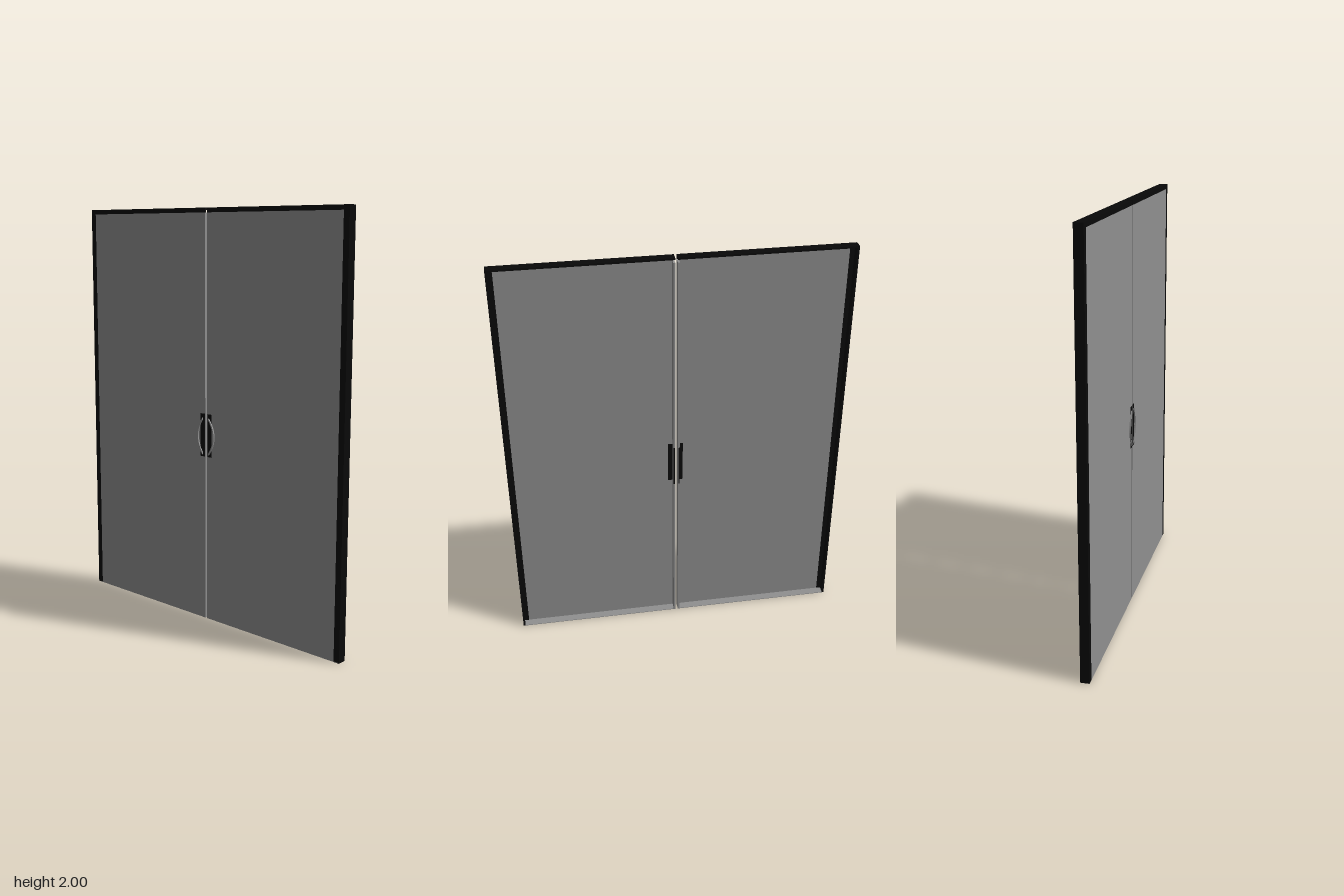
import * as THREE from 'three';

const BACK = -0.018, FRONT = 0.025;
const GAP = 0.006, EDGE = 0.81, HEIGHT = 2;
const STILE = 0.03, RAIL = 0.022, WALL = 0.009, LIP = 0.003, SHEET = 0.004;

const black = new THREE.MeshStandardMaterial({ color: 0x090909 });
const pane = new THREE.MeshStandardMaterial({ color: 0x909090 });

// Box given by its extents along each axis
function box(name, material, [x0, x1], [y0, y1], [z0, z1]) {
  const mesh = new THREE.Mesh(new THREE.BoxGeometry(x1 - x0, y1 - y0, Math.abs(z1 - z0)), material);
  mesh.position.set((x0 + x1) / 2, (y0 + y1) / 2, (z0 + z1) / 2);
  mesh.name = name;
  return mesh;
}

// Bowed grip: a slim crescent standing proud of the back face
function bowedGrip(side) {
  const shape = new THREE.Shape();
  shape.moveTo(side * 0.02, 0.83);
  shape.quadraticCurveTo(side * 0.09, 0.92, side * 0.02, 1.01);
  shape.lineTo(side * 0.02, 1.0);
  shape.quadraticCurveTo(side * 0.076, 0.92, side * 0.02, 0.84);
  shape.closePath();
  const geometry = new THREE.ExtrudeGeometry(shape, { depth: 0.008, bevelEnabled: false, curveSegments: 16 });
  geometry.rotateY(-Math.PI / 2); // shape x becomes z, depth runs towards -x
  const mesh = new THREE.Mesh(geometry, pane);
  mesh.position.x = BACK + 0.001;
  mesh.name = 'bowedGrip';
  return mesh;
}

// One door leaf; side is +1 or -1 along z
function makeLeaf(side) {
  const leaf = new THREE.Group();
  leaf.name = side > 0 ? 'frontLeaf' : 'backLeaf';
  const z = (a, b) => [side * a, side * b];
  const full = [BACK, FRONT];
  const flange = [BACK, BACK + SHEET + 0.001];
  const inner = EDGE - STILE, wall = EDGE - WALL, top = HEIGHT - RAIL;
  leaf.add(
    // Dark frame: thin walls with wider flanges along the back
    box('outerWall', black, full, [0, HEIGHT], z(wall, EDGE)),
    box('outerFlange', black, flange, [0, HEIGHT - WALL], z(inner, wall)),
    box('topWall', black, full, [HEIGHT - WALL, HEIGHT], z(GAP, wall)),
    box('topFlange', black, flange, [top, HEIGHT - WALL], z(GAP, inner)),
    // Recessed sheet with folded lips
    box('panel', pane, [BACK, BACK + SHEET], [LIP, top], z(GAP + WALL, inner)),
    box('bottomLip', pane, full, [0, LIP], z(GAP, wall)),
    box('meetingLip', pane, full, [LIP, top], z(GAP, GAP + WALL)),
    // Handle plate through the sheet, with its grip
    box('handlePlate', black, [BACK - 0.001, BACK + SHEET + 0.002], [0.82, 1.03], z(GAP + LIP, 0.036)),
    // Front cover that carries the plate across the meeting lip
    box('plateEdge', black, [FRONT - 0.001, FRONT + 0.0005], [0.82, 1.03], z(GAP + LIP, GAP + WALL)),
    bowedGrip(side)
  );
  return leaf;
}

export function createModel() {
  const door = new THREE.Group();
  door.name = 'doubleDoor';
  for (const side of [1, -1]) door.add(makeLeaf(side));
  return door;
}
